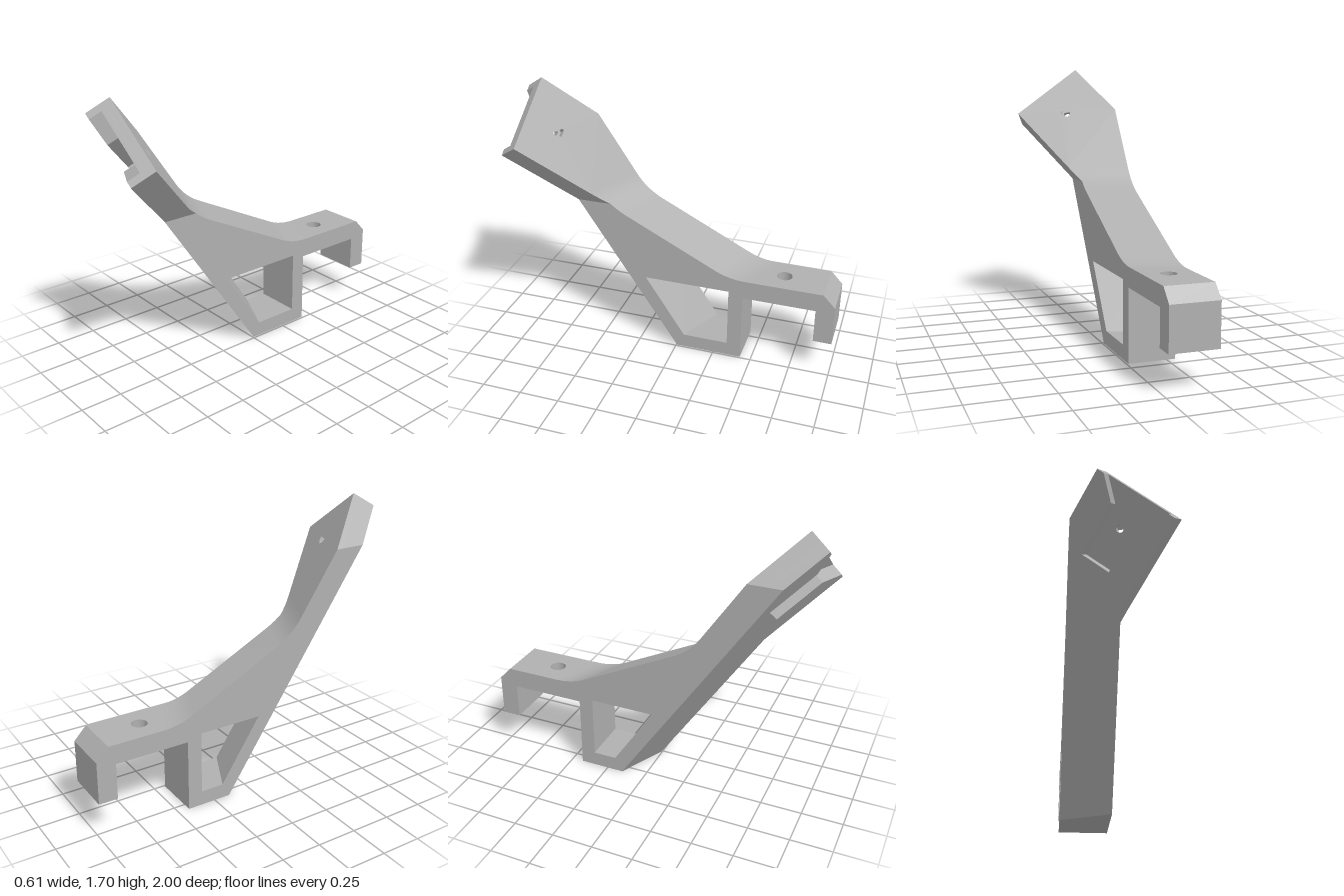
import * as THREE from 'three';
import { toCreasedNormals } from 'three/addons/utils/BufferGeometryUtils.js';

// Post width limits and the tilted, twisted front plane
const X_LEFT = -0.305, X_RIGHT = -0.01, WIDTH = X_RIGHT - X_LEFT;
const TURN = THREE.MathUtils.degToRad(36), TILT = THREE.MathUtils.degToRad(39.5);
const S = Math.sin(TURN), C = Math.cos(TURN);
const SLOPE_X = S * Math.tan(TILT), SLOPE_Y = C * Math.tan(TILT);
const frontZ = (x, y) => -0.005 + SLOPE_X * (x - X_RIGHT) + SLOPE_Y * y;
const THICK = 0.152;
const NECK_Y = 0.969, HEAD_Y = 1.053;
const sideX = (y) => X_RIGHT + (y - NECK_Y) * S / C; // right side line of the head

const shapeOf = (pts) => new THREE.Shape(pts.map(([a, b]) => new THREE.Vector2(a, b)));
const circle = (x, y, r) => new THREE.Path().absarc(x, y, r, 0, Math.PI * 2, true);
const extrude = (shape, depth) =>
  new THREE.ExtrudeGeometry(shape, { depth, bevelEnabled: false, curveSegments: 20 });

// Move each vertex by a rule
function warp(geo, rule) {
  const p = geo.attributes.position, v = new THREE.Vector3();
  for (let i = 0; i < p.count; i++) {
    rule(v.fromBufferAttribute(p, i));
    p.setXYZ(i, v.x, v.y, v.z);
  }
  return geo;
}

// Extrude a (z, y) profile across the post width
const acrossPost = (shape) =>
  extrude(shape, WIDTH).rotateY(-Math.PI / 2).translate(X_RIGHT, 0, 0);

const curve = (a, b, c, n) =>
  new THREE.QuadraticBezierCurve(new THREE.Vector2(...a), new THREE.Vector2(...b), new THREE.Vector2(...c))
    .getPoints(n).map((p) => [p.x, p.y]);

export function createModel() {
  const group = new THREE.Group();
  const grey = new THREE.MeshStandardMaterial({ color: 0xb0b0b0 });
  const add = (name, geo) => {
    const flat = geo.index ? geo.toNonIndexed() : geo;
    const mesh = new THREE.Mesh(toCreasedNormals(flat, 0.45), grey);
    mesh.name = name;
    group.add(mesh);
  };

  const lowBend = curve([-0.45, 0.57], [-0.34, 0.57], [-0.25, 0.615], 10);
  const highBend = curve([0.33, 0.905], [0.4375, 0.959], [0.5, HEAD_Y], 12);
  highBend[6][1] = NECK_Y;

  // Post with its window; the slanted faces are sheared along x
  const postShape = shapeOf([
    [-0.43, 0], [frontZ(X_RIGHT, 0), 0], [frontZ(X_RIGHT, NECK_Y), NECK_Y],
    ...highBend.slice(0, 7).reverse(), ...lowBend.slice().reverse(), [-0.43, 0.45],
  ]);
  postShape.holes.push(shapeOf([[-0.34, 0.09], [-0.34, 0.48], [0.205, 0.48], [-0.052, 0.09]]));
  add('post', warp(acrossPost(postShape), (v) => {
    if (v.z > -0.3 || v.y > 0.5) v.z += SLOPE_X * (v.x - X_RIGHT);
  }));

  // Neck that widens into the head
  const neckShape = shapeOf([
    [frontZ(X_RIGHT, NECK_Y), NECK_Y], [frontZ(X_RIGHT, HEAD_Y), HEAD_Y],
    ...highBend.slice(6).reverse(),
  ]);
  add('neck', warp(acrossPost(neckShape), (v) => {
    if (v.x > -0.1) v.x = sideX(v.y);
    v.z += SLOPE_X * (v.x - X_RIGHT);
  }));

  // Clamp arm with a screw hole, and its hooked end
  const armShape = shapeOf([[X_LEFT, 0.43], [X_RIGHT, 0.43], [X_RIGHT, 0.885], [X_LEFT, 0.885]]);
  armShape.holes.push(circle(-0.155, 0.66, 0.048));
  add('clampArm', extrude(armShape, 0.12).rotateX(-Math.PI / 2).translate(0, 0.45, 0));
  add('clampHook', acrossPost(shapeOf([
    [-1, 0.23], [-0.885, 0.23], [-0.885, 0.57], [-0.925, 0.57], [-1, 0.49],
  ])));

  // Head frame: origin at the middle of its top front edge
  const origin = new THREE.Vector3(0.04, 1.473, frontZ(0.04, 1.473));
  const across = new THREE.Vector3(C, -S, 0);
  const up = new THREE.Vector3(S * Math.cos(TILT), C * Math.cos(TILT), Math.sin(TILT));
  const out = across.clone().cross(up);
  const frame = new THREE.Matrix4().makeBasis(across, up, out).setPosition(origin);
  const HALF = 0.255;
  const lower = [[-HALF, -0.307], [-0.03, -0.7], [HALF, -0.43]];

  // One layer of the head; its lower corners land on the post sides and neck
  const headLayer = (name, shape, back, front) => {
    const geo = extrude(shape, back - front).translate(0, 0, -back);
    add(name, warp(geo, (v) => {
      const { x: e, y: h, z: d } = v;
      const snap = h < -0.6 ? [X_LEFT, HEAD_Y]
        : e > 0.24 && h < -0.3 ? [sideX(HEAD_Y), HEAD_Y]
        : e < -0.24 && h < -0.2 ? [X_LEFT, 1.432] : null;
      if (snap) v.set(snap[0], snap[1], frontZ(...snap) + d / Math.cos(TILT));
      else v.applyMatrix4(frame);
    }));
  };

  // Front layer with the funnel-mouthed slot
  const slotShape = shapeOf([
    ...lower, [HALF, 0], [0.212, 0], [0.092, -0.115], [0.092, -0.436],
    [-0.092, -0.436], [-0.092, -0.115], [-0.212, 0], [-HALF, 0],
  ]);
  headLayer('headSlot', slotShape, 0.078, 0);

  // Slot floor with the screw hole
  const solid = [...lower, [HALF, 0], [-HALF, 0]];
  const floorShape = shapeOf(solid);
  floorShape.holes.push(circle(0, -0.215, 0.022));
  headLayer('headFloor', floorShape, 0.115, 0.078);

  // Back layer with the hexagonal nut recess
  const backShape = shapeOf(solid);
  const hex = [];
  for (let i = 0; i < 6; i++) {
    const a = -i * Math.PI / 3;
    hex.push([0.043 * Math.cos(a), -0.215 + 0.043 * Math.sin(a)]);
  }
  backShape.holes.push(shapeOf(hex));
  headLayer('headBack', backShape, THICK, 0.115);

  return group;
}
